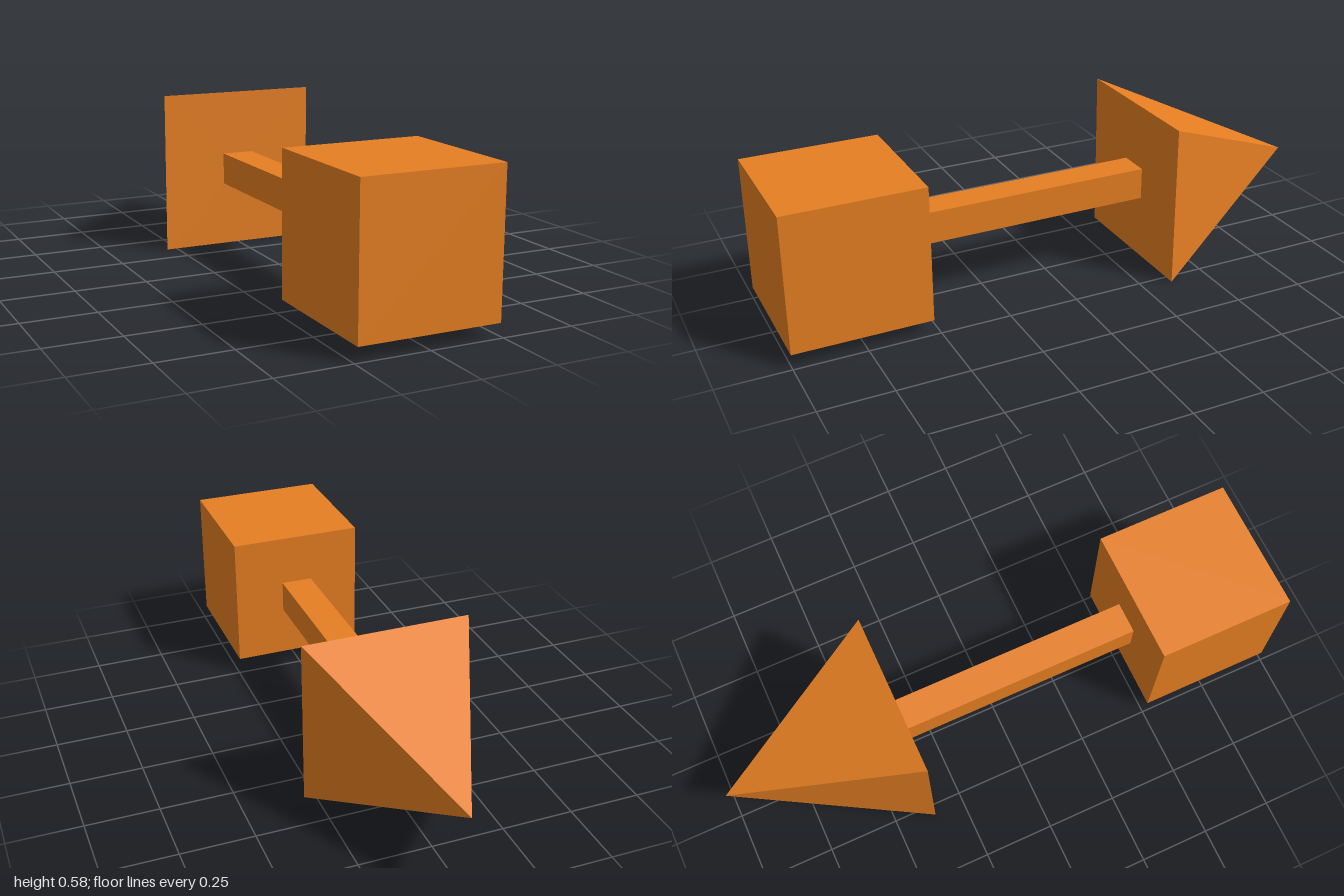
import * as THREE from 'three';

export function createModel() {
  const model = new THREE.Group();
  model.name = 'arrow';
  const orange = new THREE.MeshStandardMaterial({ color: 0xe67e22, flatShading: true });
  orange.name = 'orange';

  const axisY = 0.288; // height of the centre line
  const headBack = -0.36, blockBack = 0.52;

  function add(name, geometry, z) {
    const mesh = new THREE.Mesh(geometry, orange);
    mesh.name = name;
    mesh.position.set(0, axisY, z);
    model.add(mesh);
  }

  // Cube at the front end
  add('tailBlock', new THREE.BoxGeometry(0.48, 0.48, 0.48), blockBack + 0.24);

  // Thin square bar joining the two ends
  add('shaft', new THREE.BoxGeometry(0.114, 0.114, blockBack - headBack), (blockBack + headBack) / 2);

  // Four-sided pyramid pointing backwards
  const length = headBack + 1;
  const head = new THREE.ConeGeometry(axisY * Math.SQRT2, length, 4, 1, false, Math.PI / 4);
  head.rotateX(-Math.PI / 2);
  add('pyramidHead', head, headBack - length / 2);

  return model;
}
